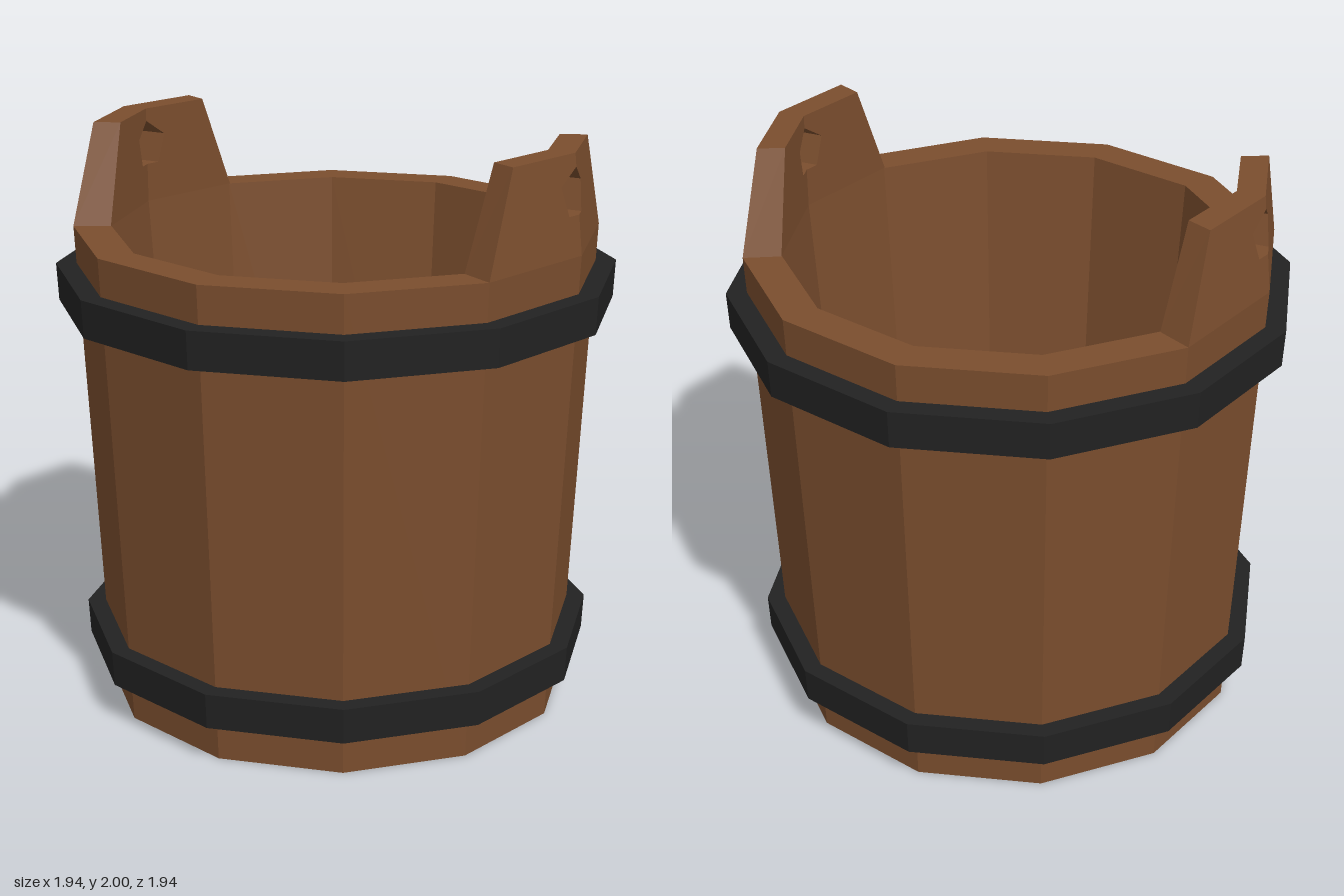
import * as THREE from 'three';

const SIDES = 12;
const RIM_Y = 1.665;

export function createModel() {
  const bucket = new THREE.Group();
  bucket.name = 'bucket';
  const wood = new THREE.MeshStandardMaterial({ color: 0x7b4e2e, flatShading: true });
  const iron = new THREE.MeshStandardMaterial({ color: 0x222222, flatShading: true });

  const addLathe = (name, profile, material) => {
    const points = profile.map(([r, y]) => new THREE.Vector2(r, y));
    const mesh = new THREE.Mesh(new THREE.LatheGeometry(points, SIDES), material);
    mesh.name = name;
    bucket.add(mesh);
  };

  // Tapered wall with a recessed base and an inside floor
  addLathe('body', [
    [0, 0.08], [0.73, 0.08], [0.73, 0], [0.83, 0],
    [0.905, RIM_Y], [0.775, RIM_Y], [0.67, 0.13], [0, 0.13],
  ], wood);

  // Hoops around the wall
  const addHoop = (name, y0, y1, r0, r1) => addLathe(name, [
    [0.82, y0], [r0, y0], [r1, y1], [0.82, y1], [0.82, y0],
  ], iron);
  addHoop('lowerHoop', 0.145, 0.27, 0.9, 0.906);
  addHoop('upperHoop', 1.405, 1.535, 0.964, 0.97);

  // Handle ears: two halves that meet in a ridge, each with half of the hole
  const earHalf = (sign) => {
    const outline = [
      [0, RIM_Y], [0.4525, RIM_Y], [0.305, 2], [0, 2],
      [0, 1.955], [0.08, 1.9], [0.05, 1.8], [0, 1.8],
    ];
    const shape = new THREE.Shape(outline.map(([z, y]) => new THREE.Vector2(-sign * z, y)));
    const geometry = new THREE.ExtrudeGeometry(shape, { depth: 1, bevelEnabled: false });
    const pos = geometry.attributes.position;
    // Bend the flat panel onto the two facets of the wall
    for (let i = 0; i < pos.count; i++) {
      const y = pos.getY(i);
      const t = pos.getZ(i);
      let z = -pos.getX(i);
      if (Math.abs(z) > 0.2) z *= THREE.MathUtils.lerp(0.865, 1, t);
      const ridge = THREE.MathUtils.lerp(0.775, 0.905 - 0.1045 * (y - RIM_Y), t);
      pos.setXYZ(i, ridge - 0.268 * Math.abs(z), y, z);
    }
    geometry.computeVertexNormals();
    return new THREE.Mesh(geometry, wood);
  };

  for (const [name, turn] of [['leftEar', 0], ['rightEar', Math.PI]]) {
    const ear = new THREE.Group();
    ear.name = name;
    for (const sign of [1, -1]) {
      const half = earHalf(sign);
      half.name = sign > 0 ? 'earHalfA' : 'earHalfB';
      ear.add(half);
    }
    ear.rotation.y = turn;
    bucket.add(ear);
  }

  return bucket;
}
